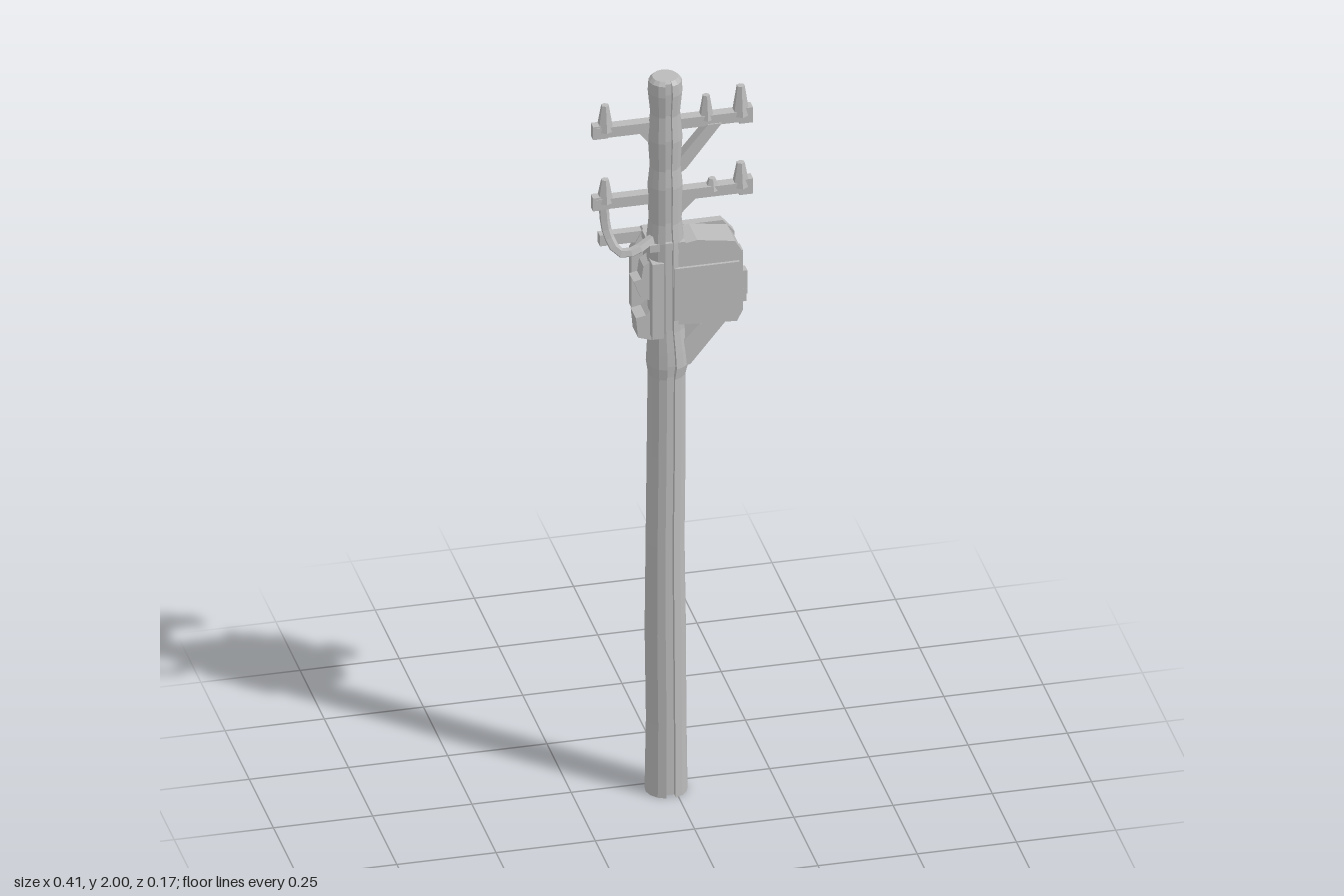
import * as THREE from 'three';

const concrete = new THREE.MeshStandardMaterial({ color: 0xbababa, flatShading: true, side: THREE.DoubleSide });
concrete.name = 'weathered grey';

export function createModel() {
  const root = new THREE.Group();
  root.name = 'utilityPole';

  const add = (name, geo, x = 0, y = 0, z = 0) => {
    const m = new THREE.Mesh(geo, concrete);
    m.name = name;
    m.position.set(x, y, z);
    root.add(m);
    return m;
  };
  // box given by its minimum and maximum corners
  const block = (name, x0, x1, y0, y1, z0, z1) =>
    add(name, new THREE.BoxGeometry(x1 - x0, y1 - y0, z1 - z0), (x0 + x1) / 2, (y0 + y1) / 2, (z0 + z1) / 2);
  // outline in x/y pushed through a depth range
  const slab = (name, pts, z0, z1) => {
    const s = new THREE.Shape(pts.map(p => new THREE.Vector2(...p)));
    return add(name, new THREE.ExtrudeGeometry(s, { depth: z1 - z0, bevelEnabled: false }), 0, 0, z0);
  };

  // pole: round section with a cable groove in the front, swelling by height
  const ring = [];
  for (let i = 0; i <= 14; i++) {
    const a = Math.PI / 2 + 0.22 + (i / 14) * (Math.PI * 2 - 0.44);
    ring.push([Math.cos(a), Math.sin(a)]);
  }
  ring.push([0.22, 0.66], [-0.22, 0.66]);
  // height, radius, centre x, centre z
  const levels = [
    [0, 0.053, -0.019, 0.034], [0.2, 0.05, -0.019, 0.035], [0.45, 0.051, -0.021, 0.034],
    [0.7, 0.048, -0.022, 0.036], [0.95, 0.048, -0.019, 0.035], [1.17, 0.047, -0.018, 0.036],
    [1.2, 0.053, -0.016, 0.034], [1.24, 0.05, -0.017, 0.035], [1.3, 0.045, -0.02, 0.036],
    [1.55, 0.046, -0.022, 0.036], [1.6, 0.041, -0.022, 0.036], [1.7, 0.043, -0.022, 0.036],
    [1.75, 0.038, -0.022, 0.036], [1.83, 0.043, -0.022, 0.036], [1.9, 0.037, -0.022, 0.036],
    [1.96, 0.043, -0.022, 0.036], [1.99, 0.041, -0.022, 0.036], [2, 0.032, -0.022, 0.036],
  ];
  const pos = [], idx = [], n = ring.length;
  levels.forEach(([y, r, cx, cz], k) => {
    ring.forEach(([c, s], i) => {
      pos.push(cx + c * r, y, cz + s * r);
      if (!k) return;
      const j = (i + 1) % n, a = (k - 1) * n, b = k * n;
      idx.push(a + i, b + i, b + j, a + i, b + j, a + j);
    });
  });
  for (const [k, top] of [[0, false], [levels.length - 1, true]]) {
    const [y, , cx, cz] = levels[k];
    const c = pos.length / 3;
    pos.push(cx, y, cz);
    for (let i = 0; i < n; i++) {
      const p = k * n + i, q = k * n + (i + 1) % n;
      idx.push(c, top ? q : p, top ? p : q);
    }
  }
  const pole = new THREE.BufferGeometry();
  pole.setAttribute('position', new THREE.Float32BufferAttribute(pos, 3));
  pole.setIndex(idx);
  pole.computeVertexNormals();
  add('pole', pole);

  // crossarms with pointed insulators
  const insulator = (x, y, h, r) =>
    add('insulator', new THREE.CylinderGeometry(r * 0.45, r, h, 6), x, y + h / 2, 0.022);
  for (const y of [1.86, 1.66]) {
    const up = y > 1.8;
    block('crossarm', -0.195, 0.19, y - 0.015, y + 0.013, 0.008, 0.036);
    block('armEndLeft', 0.165, 0.2, y - 0.02, y + 0.022, 0.008, 0.036);
    block('armEndRight', -0.203, -0.165, y - 0.018, y + 0.018, 0.01, 0.034);
    insulator(0.172, y, up ? 0.08 : 0.065, 0.023);
    insulator(-0.17, y, up ? 0.07 : 0.062, 0.022);
    insulator(up ? 0.085 : 0.1, y, up ? 0.065 : 0.03, 0.02);
  }
  // diagonal braces under the arms
  slab('upperBrace', [[0.01, 1.72], [0.03, 1.735], [0.12, 1.85], [0.085, 1.85], [0.01, 1.76]], 0.01, 0.04);
  slab('upperBraceRight', [[-0.05, 1.8], [-0.05, 1.85], [-0.09, 1.85]], 0.01, 0.036);
  slab('lowerBrace', [[0.01, 1.6], [0.01, 1.65], [0.06, 1.65]], 0.01, 0.036);

  // hanging cable loop on the right side
  const loop = new THREE.CatmullRomCurve3([
    [-0.175, 1.66, 0.022], [-0.168, 1.58, 0.035], [-0.145, 1.535, 0.062],
    [-0.11, 1.535, 0.068], [-0.05, 1.56, 0.05],
  ].map(p => new THREE.Vector3(...p)));
  add('cableLoop', new THREE.TubeGeometry(loop, 10, 0.013, 5));

  // equipment cabinet with a raised door and sloping lid
  slab('cabinet', [[-0.01, 1.32], [0.15, 1.31], [0.165, 1.34], [0.165, 1.5], [0.145, 1.535], [0.05, 1.55], [-0.01, 1.54]], -0.012, 0.074);
  block('cabinetDoor', -0.01, 0.155, 1.335, 1.48, 0.074, 0.082);
  block('cabinetSideRib', 0.16, 0.172, 1.34, 1.49, 0.01, 0.045);
  slab('cabinetBrace', [[0, 1.19], [0.035, 1.2], [0.125, 1.31], [0.06, 1.31], [0, 1.25]], 0.005, 0.065);

  // rear board, its mount and rails
  slab('rearBoard', [[-0.09, 1.32], [0.165, 1.31], [0.17, 1.5], [0.14, 1.535], [-0.06, 1.535], [-0.09, 1.48]], -0.058, -0.035);
  block('rearMount', -0.06, 0.035, 1.38, 1.53, -0.055, 0.01);
  block('rearLowerRail', 0.1, 0.2, 1.3, 1.335, -0.06, -0.035);
  block('rearRailKnob', 0.17, 0.203, 1.32, 1.385, -0.062, -0.036);
  block('rearUpperRail', -0.168, -0.05, 1.5, 1.53, -0.062, -0.038);
  block('rearHatch', 0.07, 0.11, 1.485, 1.52, -0.08, -0.055);
  const spike = add('rearSpike', new THREE.ConeGeometry(0.009, 0.032, 4), 0.16, 1.5, -0.069);
  spike.rotation.x = -Math.PI / 2;

  // clamps and fittings on the pole
  slab('sideFittingUpper', [[-0.05, 1.38], [-0.085, 1.39], [-0.105, 1.44], [-0.085, 1.445], [-0.08, 1.48], [-0.05, 1.5]], 0.005, 0.05);
  slab('sideFittingLower', [[-0.05, 1.27], [-0.095, 1.285], [-0.1, 1.34], [-0.075, 1.345], [-0.05, 1.37]], 0.0, 0.055);
  block('frontClamp', -0.065, -0.036, 1.29, 1.5, 0.045, 0.083);
  block('upperClamp', -0.07, 0.02, 1.53, 1.55, -0.01, 0.075);

  return root;
}
